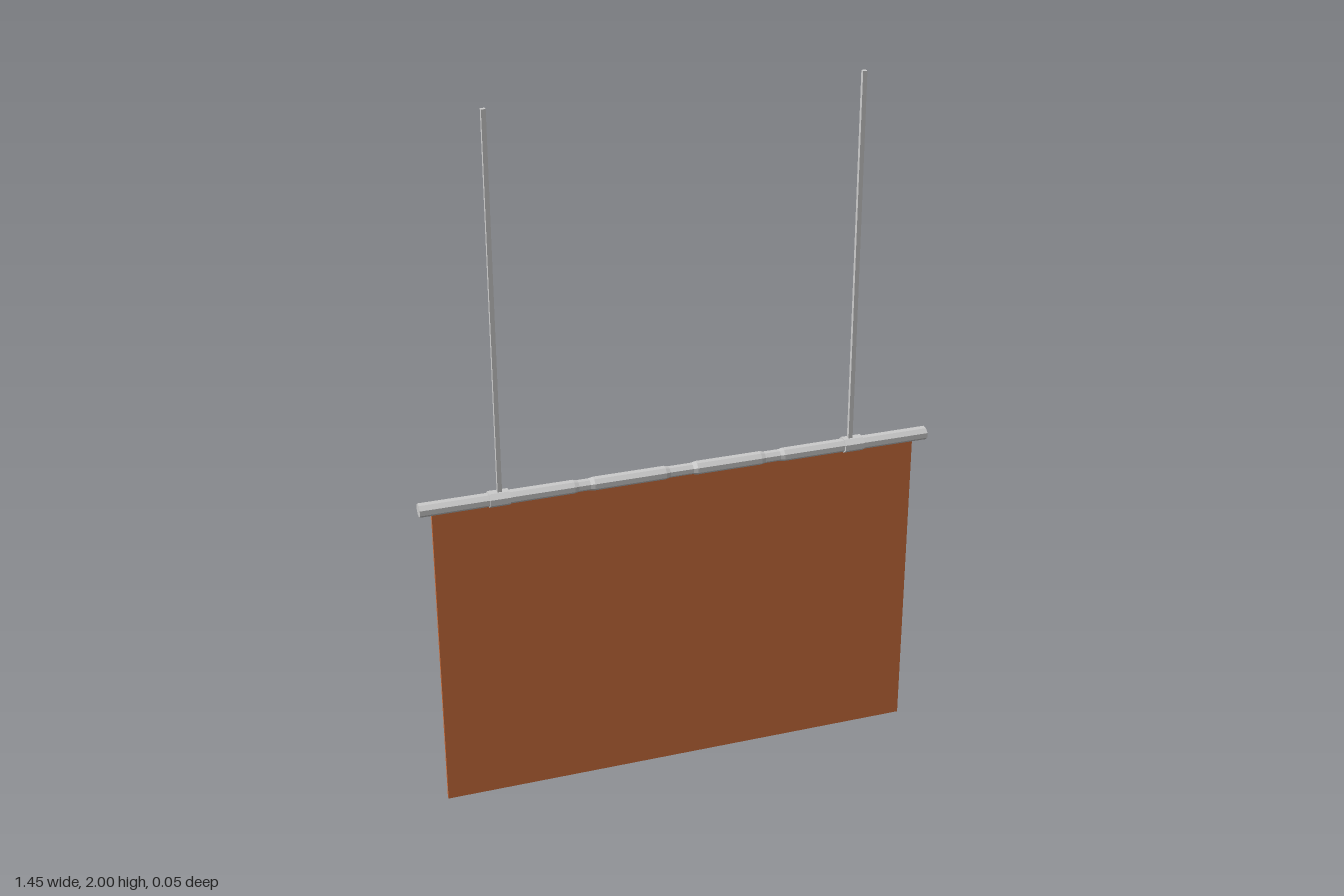
import * as THREE from 'three';

export function createModel() {
  const model = new THREE.Group();
  const grey = new THREE.MeshStandardMaterial({ color: 0xcccccc, flatShading: true });
  const orange = new THREE.MeshStandardMaterial({ color: 0xcc6e3c, flatShading: true });
  const POLE_Y = 0.928;

  const add = (name, geometry, material, x, y) => {
    const mesh = new THREE.Mesh(geometry, material);
    mesh.name = name;
    mesh.position.set(x, y, 0);
    model.add(mesh);
  };

  // Eight-sided bar along x, from [x, half depth] stations, with flats facing up and front
  const bar = (stations, flatten) => {
    const k = 1 / Math.cos(Math.PI / 8);
    const first = stations[0][0], last = stations[stations.length - 1][0];
    const points = [[first, 0], ...stations, [last, 0]].map(([x, r]) => new THREE.Vector2(r * k, x));
    return new THREE.LatheGeometry(points, 8, Math.PI / 8)
      .rotateZ(-Math.PI / 2)
      .scale(1, flatten, 1);
  };

  // Pole with three shallow necks
  const stations = [[-0.727, 0.02]];
  for (const [centre, half, r] of [[-0.275, 0.016, 0.017], [0, 0.033, 0.0165], [0.265, 0.022, 0.017]]) {
    stations.push([centre - half - 0.012, 0.0195], [centre - half, r],
      [centre + half, r], [centre + half + 0.012, 0.0195]);
  }
  stations.push([0.727, 0.02]);
  add('pole', bar(stations, 0.87), grey, 0, POLE_Y);

  // Hanging cloth
  add('cloth', new THREE.BoxGeometry(1.38, 0.92, 0.01), orange, -0.003, 0.46);

  // Collars with the hanging rods above them
  const collar = bar([[-0.028, 0.025], [0.028, 0.025]], 0.8);
  const rod = new THREE.BoxGeometry(0.012, 2 - POLE_Y, 0.012);
  for (const [side, collarX, rodX] of [['left', 0.505, 0.498], ['right', -0.51, -0.507]]) {
    add(side + 'Collar', collar, grey, collarX, POLE_Y + 0.001);
    add(side + 'Rod', rod, grey, rodX, (2 + POLE_Y) / 2);
  }
  return model;
}
